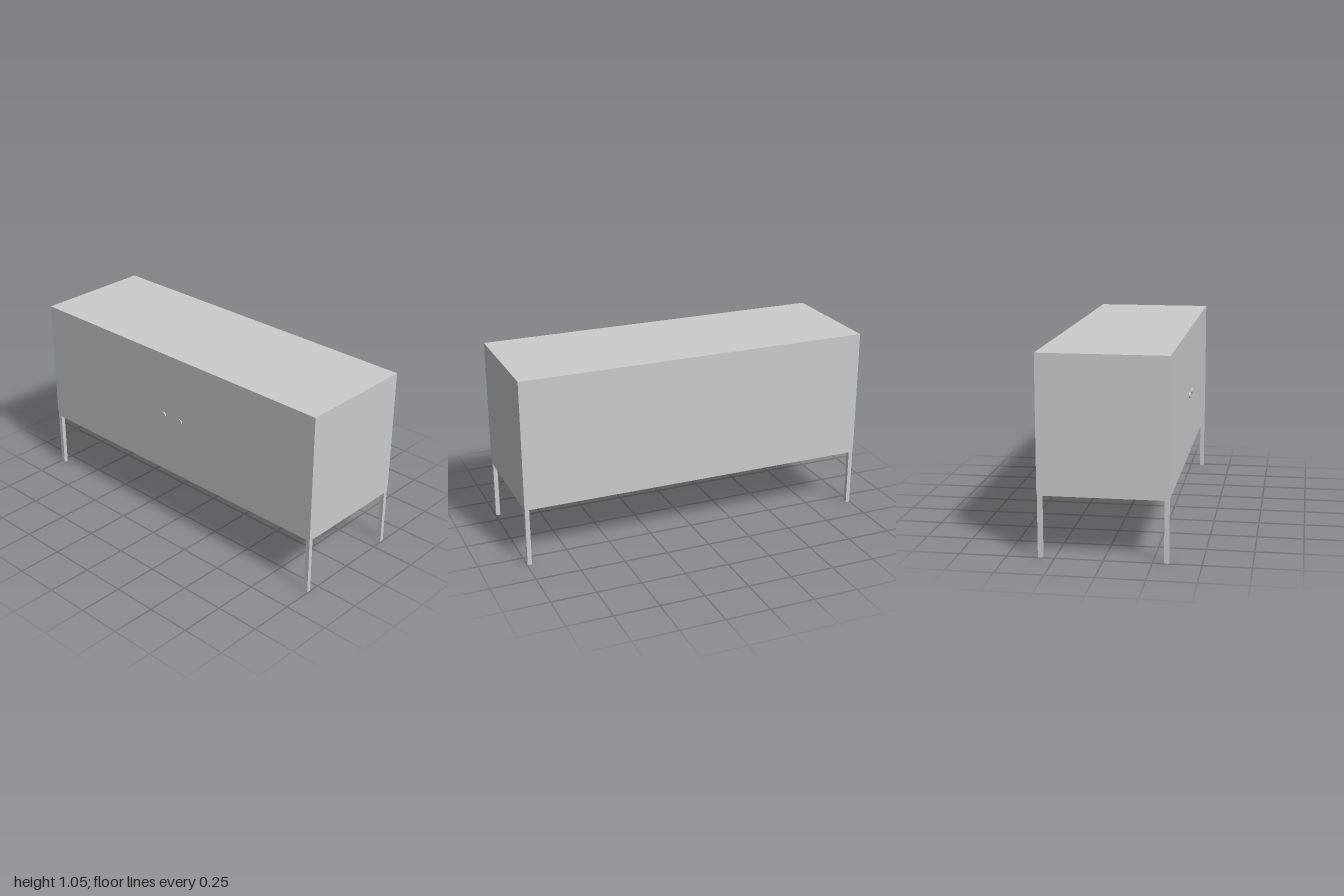
import * as THREE from 'three';

export function createModel() {
  const model = new THREE.Group();
  model.name = 'sideboard';
  const material = new THREE.MeshStandardMaterial({ color: 0xcccccc });

  const add = (name, geometry, x, y, z) => {
    const mesh = new THREE.Mesh(geometry, material);
    mesh.name = name;
    mesh.position.set(x, y, z);
    model.add(mesh);
    return mesh;
  };

  const centreZ = -0.002; // the knobs push the body slightly back
  const bodyBottom = 0.353, bodyTop = 1.053, bodyDepth = 0.674;
  const bar = 0.024, railHeight = 0.027;
  const legX = 0.998 - bar / 2, legZ = 0.335 - bar / 2;

  // Cabinet body
  add('cabinet', new THREE.BoxGeometry(2, bodyTop - bodyBottom, bodyDepth),
    0, (bodyTop + bodyBottom) / 2, centreZ);

  // Four square legs
  for (const sx of [-1, 1]) {
    for (const sz of [-1, 1]) {
      const name = (sz > 0 ? 'front' : 'back') + (sx > 0 ? 'Left' : 'Right') + 'Leg';
      add(name, new THREE.BoxGeometry(bar, bodyBottom, bar),
        sx * legX, bodyBottom / 2, centreZ + sz * legZ);
    }
  }

  // Rails joining the legs under the body
  const railY = bodyBottom - railHeight / 2;
  for (const s of [-1, 1]) {
    add(s > 0 ? 'frontRail' : 'backRail',
      new THREE.BoxGeometry(2 * legX - bar, railHeight, bar), 0, railY, centreZ + s * legZ);
    add(s > 0 ? 'leftRail' : 'rightRail',
      new THREE.BoxGeometry(bar, railHeight, 2 * legZ - bar), s * legX, railY, centreZ);
  }

  // Round flat knobs on the front
  const front = centreZ + bodyDepth / 2;
  for (const s of [-1, 1]) {
    const knob = add(s > 0 ? 'leftKnob' : 'rightKnob',
      new THREE.CylinderGeometry(0.017, 0.017, 0.01, 16), s * 0.063, 0.678, front + 0.002);
    knob.rotation.x = Math.PI / 2;
  }

  return model;
}
